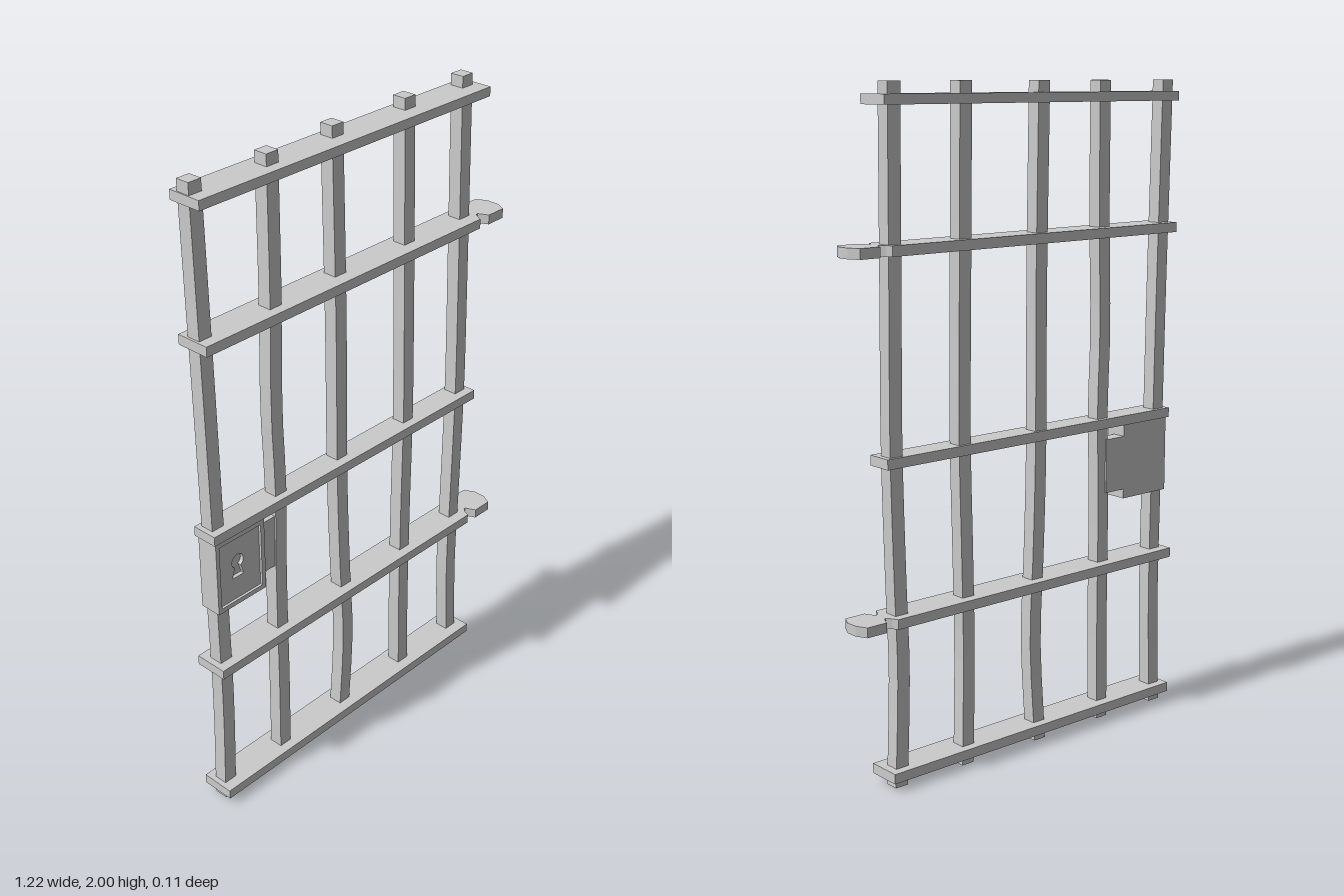
import * as THREE from 'three';

const material = new THREE.MeshStandardMaterial({ color: 0xcccccc, flatShading: true });

export function createModel() {
  const gate = new THREE.Group();
  gate.name = 'barredGate';

  const add = (name, geometry, parent = gate) => {
    const mesh = new THREE.Mesh(geometry, material);
    mesh.name = name;
    parent.add(mesh);
    return mesh;
  };
  // Box given by its limits on each axis
  const block = (name, x0, x1, y0, y1, z0, z1, parent) =>
    add(name, new THREE.BoxGeometry(x1 - x0, y1 - y0, z1 - z0)
      .translate((x0 + x1) / 2, (y0 + y1) / 2, (z0 + z1) / 2), parent);
  const rectangle = (Type, x0, x1, y0, y1) => new Type([
    new THREE.Vector2(x0, y0), new THREE.Vector2(x1, y0),
    new THREE.Vector2(x1, y1), new THREE.Vector2(x0, y1)]);

  // Upright bars: square rods bent along a hand-forged centre line of [x, y, z] points
  const bars = [
    [[-0.573, 0, -0.005], [-0.568, 0.35, 0], [-0.571, 0.7, 0], [-0.573, 1, -0.002], [-0.58, 1.35, 0], [-0.582, 1.7, -0.005], [-0.585, 2, -0.008]],
    [[-0.341, 0, 0], [-0.343, 0.3, 0.006], [-0.34, 0.6, 0.002], [-0.336, 0.8, 0], [-0.331, 1, 0], [-0.338, 1.25, 0], [-0.33, 1.6, 0], [-0.326, 2, -0.003]],
    [[-0.071, 0, -0.005], [-0.06, 0.32, 0.004], [-0.066, 0.6, -0.002], [-0.071, 0.9, -0.006], [-0.07, 1.4, -0.008], [-0.07, 2, -0.018]],
    [[0.216, 0, -0.005], [0.203, 0.34, 0.003], [0.211, 0.65, -0.002], [0.22, 1, -0.005], [0.217, 1.4, -0.007], [0.218, 2, -0.018]],
    [[0.463, 0, -0.005], [0.45, 0.34, -0.004], [0.458, 0.62, -0.005], [0.465, 1, -0.005], [0.463, 1.4, -0.008], [0.464, 2, -0.018]],
  ];
  bars.forEach((points, i) => {
    const curve = new THREE.CatmullRomCurve3(points.map(p => new THREE.Vector3(...p)));
    const rings = 16;
    const geometry = new THREE.BoxGeometry(0.043, 2, 0.043, 1, rings, 1);
    const pos = geometry.attributes.position;
    for (let v = 0; v < pos.count; v++) {
      const t = Math.round((pos.getY(v) / 2 + 0.5) * rings) / rings;
      const c = curve.getPoint(t);
      pos.setXYZ(v, pos.getX(v) + c.x, c.y, pos.getZ(v) + c.z);
    }
    geometry.computeVertexNormals();
    add(`uprightBar${i + 1}`, geometry);
  });

  // Plain cross rails
  block('bottomRail', -0.61, 0.507, 0.028, 0.058, -0.053, 0.053);
  block('middleRail', -0.61, 0.502, 0.948, 0.978, -0.036, 0.045);
  block('topRail', -0.61, 0.507, 1.938, 1.966, -0.053, 0.053);

  // Hinged rails: notched end, narrow neck and faceted hinge lug in one outline
  const half = [[0.487, 0.053], [0.495, 0.035], [0.507, 0.021], [0.512, 0.021],
    [0.527, 0.053], [0.593, 0.053], [0.61, 0.02]];
  const outline = [[-0.61, -0.053], ...half.map(([x, z]) => [x, -z]),
    ...half.slice().reverse(), [-0.61, 0.053]];
  const railShape = new THREE.Shape(outline.map(p => new THREE.Vector2(...p)));
  for (const [name, y] of [['lowerHingeRail', 0.488], ['upperHingeRail', 1.537]]) {
    const geometry = new THREE.ExtrudeGeometry(railShape, { depth: 0.03, bevelEnabled: false });
    add(name, geometry.rotateX(-Math.PI / 2).translate(0, y, 0));
  }

  // Lock case wrapped around the first bar, joined to the second by a plate
  const lock = new THREE.Group();
  lock.name = 'lock';
  gate.add(lock);
  block('lockCase', -0.605, -0.42, 0.71, 0.95, -0.027, 0.022, lock);
  block('lockPlate', -0.42, -0.345, 0.74, 0.91, -0.027, 0.017, lock);

  // Raised border around the lock face
  const border = rectangle(THREE.Shape, -0.605, -0.42, 0.71, 0.95);
  border.holes.push(rectangle(THREE.Path, -0.592, -0.434, 0.725, 0.932));
  add('lockBorder', new THREE.ExtrudeGeometry(border, { depth: 0.02, bevelEnabled: false })
    .translate(0, 0, 0.022), lock);

  // Recessed face with a keyhole cut through it
  const face = rectangle(THREE.Shape, -0.592, -0.434, 0.725, 0.932);
  const keyhole = new THREE.Path();
  keyhole.moveTo(-0.541, 0.797);
  keyhole.lineTo(-0.497, 0.797);
  keyhole.lineTo(-0.508, 0.83);
  keyhole.absarc(-0.519, 0.849, 0.022, -Math.PI / 3, Math.PI * 4 / 3, false);
  keyhole.closePath();
  face.holes.push(keyhole);
  add('lockFace', new THREE.ExtrudeGeometry(face, { depth: 0.012, bevelEnabled: false, curveSegments: 10 })
    .translate(0, 0, 0.022), lock);

  return gate;
}
